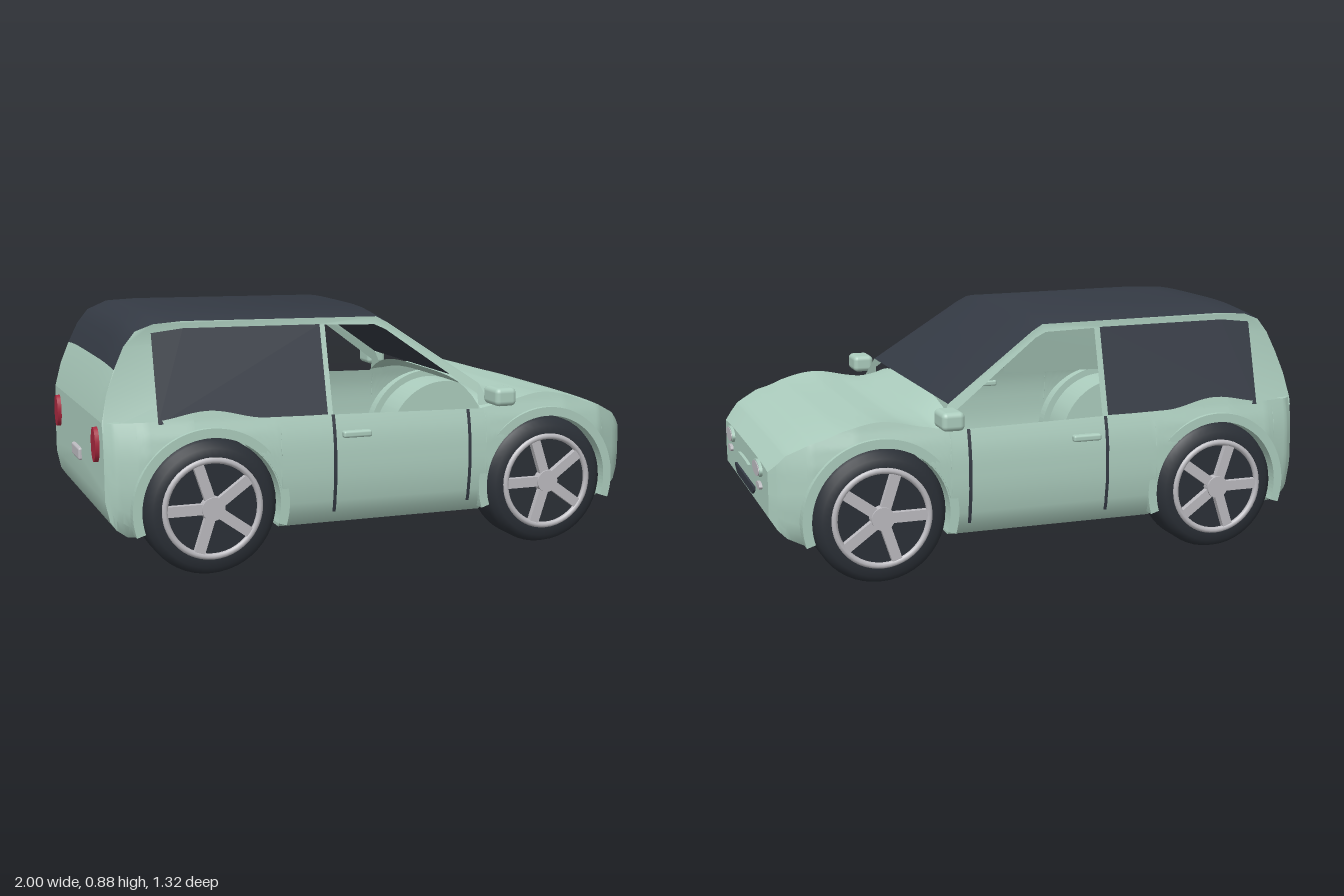
import * as THREE from 'three';
import { toCreasedNormals } from 'three/addons/utils/BufferGeometryUtils.js';
import { RoundedBoxGeometry } from 'three/addons/geometries/RoundedBoxGeometry.js';

const mat = (name, color, side = THREE.FrontSide) =>
  Object.assign(new THREE.MeshStandardMaterial({ color, side }), { name });
const paint = mat('mint paint', 0xaccdbe, THREE.DoubleSide);
const glass = mat('dark glass', 0x343a44, THREE.DoubleSide);
const rubber = mat('tyre rubber', 0x2b3037);
const silver = mat('silver', 0xbcbbc0);
const red = mat('tail light red', 0xa8283e);

const WHEELS = [-0.637, 0.622], AXLE = 0.235, ARCH = 0.245, END = 0.985;

// Linear interpolation in a small table of [key, value] pairs
function at(table, x) {
  if (x <= table[0][0]) return table[0][1];
  for (let i = 1; i < table.length; i++) {
    const [a, u] = table[i - 1], [b, v] = table[i];
    if (x <= b) return u + (v - u) * (x - a) / (b - a);
  }
  return table[table.length - 1][1];
}

// Body outlines: height of underside, shoulder and centre line, plan and side widths
const bottomT = [[-END, 0.27], [-0.97, 0.2], [-0.95, 0.17], [-0.91, 0.14], [0.87, 0.14], [0.93, 0.17], [0.96, 0.2], [END, 0.24]];
const beltT = [[-END, 0.53], [-0.8, 0.535], [-0.2, 0.525], [0.36, 0.515], [0.45, 0.53], [0.6, 0.53], [0.75, 0.525], [0.85, 0.5], [0.93, 0.46], [END, 0.4]];
const crownT = [[0.36, 0.6], [0.44, 0.555], [0.52, 0.54], [0.62, 0.545], [0.75, 0.535], [0.85, 0.51], [0.93, 0.465], [END, 0.41]];
const planT = [[-END, 0.86], [-0.95, 0.92], [-0.85, 0.975], [-0.7, 1], [0.7, 1], [0.85, 0.96], [0.95, 0.87], [END, 0.8]];
const sideT = [[0.14, 0.5], [0.19, 0.54], [0.3, 0.555], [0.42, 0.552], [0.48, 0.542], [0.53, 0.527], [0.57, 0.518]];
const bulge = x => WHEELS.reduce((s, c) => s + (Math.abs(x - c) < 0.2 ? 0.5 + 0.5 * Math.cos((x - c) / 0.2 * Math.PI) : 0), 0);
const belt = x => at(beltT, x) + 0.03 * bulge(x);
const width = (x, y) => at(planT, x) * at(sideT, y);
const cabinZ = (x, y) => 0.515 - (y - 0.53) * 0.28 - Math.max(0, -0.82 - x) * 0.35;

// Skin through rows of points [x, y, z]
function loft(rings, { closed = false, caps = false, skip = () => false, crease = 0.55 } = {}) {
  const n = rings[0].length, pos = rings.flat(2), idx = [];
  const edges = closed ? n : n - 1;
  for (let i = 0; i < rings.length - 1; i++) for (let j = 0; j < edges; j++) {
    if (skip(i, j)) continue;
    const k = (j + 1) % n, a = i * n + j, b = a + n, c = i * n + k, d = c + n;
    idx.push(a, b, c, b, d, c);
  }
  if (caps) [0, rings.length - 1].forEach((i, front) => {
    const centre = pos.length / 3;
    pos.push(rings[i][0][0], 0.35, 0);
    for (let j = 0; j < n; j++) {
      const a = i * n + j, b = i * n + (j + 1) % n;
      idx.push(centre, ...(front ? [b, a] : [a, b]));
    }
  });
  const g = new THREE.BufferGeometry();
  g.setAttribute('position', new THREE.Float32BufferAttribute(pos, 3));
  g.setIndex(idx);
  return toCreasedNormals(g, crease);
}

function add(parent, name, geo, material, x = 0, y = 0, z = 0) {
  const m = new THREE.Mesh(geo, material);
  m.name = name;
  m.position.set(x, y, z);
  parent.add(m);
  return m;
}

// Lower body with wheel wells, open on top inside the cabin
function bodyGeometry() {
  const xs = [];
  for (let i = 0; i <= 80; i++) xs.push(-END + 2 * END * i / 80);
  for (const c of WHEELS) {
    for (let k = 0; k <= 28; k++) xs.push(c + ARCH * Math.cos(k * Math.PI / 28));
    xs.push(c - ARCH - 0.001, c + ARCH + 0.001);
  }
  xs.push(-0.97, -0.95, -0.93, 0.36, 0.93, 0.96);
  xs.sort((a, b) => a - b);
  const rows = 9, across = 8;
  const rings = xs.map(x => {
    const b = at(bottomT, x), top = belt(x), crown = x < 0.359 ? top : at(crownT, x);
    let a = b;
    for (const c of WHEELS) if (Math.abs(x - c) <= ARCH + 1e-6) a = AXLE + Math.sqrt(Math.max(0, ARCH ** 2 - (x - c) ** 2));
    const half = [[x, b, 0], [x, b, 0.34], [x, a, 0.34]];
    for (let r = 0; r <= rows; r++) {
      const y = a + (top - a) * r / rows;
      half.push([x, y, width(x, y)]);
    }
    for (let s = 1; s <= across; s++) {
      const t = s / across;
      half.push([x, top + (crown - top) * (1 - (1 - t) ** 4), width(x, top) * (1 - t)]);
    }
    return [...half, ...half.slice(1, -1).reverse().map(([px, y, z]) => [px, y, -z])];
  });
  const first = 3 + rows, last = first + 2 * across;
  const skip = (i, j) => xs[i] > -0.931 && xs[i + 1] < 0.361 && j >= first && j < last;
  return loft(rings, { closed: true, caps: true, skip });
}

// Roof line stations: x, edge height, extra height in the middle
const ROOF = [[-END, 0.53, 0], [-0.965, 0.62, 0.004], [-0.935, 0.7, 0.01], [-0.9, 0.775, 0.018], [-0.86, 0.825, 0.024], [-0.8, 0.848, 0.027],
  [-0.7, 0.855, 0.024], [0, 0.847, 0.025], [0.04, 0.825, 0.022], [0.37, 0.6, 0]];
const roofGeometry = stations => loft(stations.map(([x, y, h]) => {
  const row = [];
  for (let k = 0; k <= 12; k++) {
    const t = 1 - k / 6;
    row.push([x, y + h * (1 - t ** 4), cabinZ(x, y) * t]);
  }
  return row;
}), { crease: 0.7 });

// Flat outline laid onto the slanting cabin side
function cabinPlate(points, lift = 0) {
  const g = new THREE.ShapeGeometry(new THREE.Shape(points.map(p => new THREE.Vector2(p[0], p[1]))));
  const p = g.attributes.position;
  for (let i = 0; i < p.count; i++) p.setZ(i, cabinZ(p.getX(i), p.getY(i)) + lift);
  g.computeVertexNormals();
  return g;
}

function addWheel(parent, x) {
  const wheel = new THREE.Group();
  wheel.name = 'wheel';
  wheel.position.set(x, AXLE, 0);
  parent.add(wheel);
  const profile = [[0, 0.36], [0.2, 0.36], [0.225, 0.38], [0.235, 0.41], [0.235, 0.51], [0.226, 0.537], [0.205, 0.553], [0.176, 0.555], [0.17, 0.535], [0, 0.535]];
  const tyre = new THREE.LatheGeometry(profile.map(p => new THREE.Vector2(...p)), 48).rotateX(Math.PI / 2);
  add(wheel, 'tyre', toCreasedNormals(tyre, 0.7), rubber);
  add(wheel, 'rim', new THREE.TorusGeometry(0.165, 0.011, 8, 48), silver, 0, 0, 0.552);
  add(wheel, 'hub', new THREE.CylinderGeometry(0.04, 0.042, 0.03, 24).rotateX(Math.PI / 2), silver, 0, 0, 0.55);
  for (let k = 0; k < 5; k++) {
    const spoke = new THREE.BoxGeometry(0.14, 0.036, 0.022).translate(0.09, 0, 0.548);
    add(wheel, 'spoke', spoke, silver).rotation.z = Math.PI + k * Math.PI * 0.4;
  }
}

// Oval lamp facing along x
const oval = (ry, rz, depth) => new THREE.CylinderGeometry(1, 1, depth, 32).rotateZ(Math.PI / 2).scale(1, ry, rz);

function buildSide(side) {
  // Cabin side frame with open door window
  add(side, 'cabinSide', cabinPlate([[-END, 0.5], [-0.195, 0.5], [-0.195, 0.825], [-0.01, 0.82], [0.03, 0.802], [0.36, 0.565], [0.36, 0.5], [0.42, 0.5],
    ...ROOF.map(([x, y]) => [x, y]).reverse()]), paint);
  add(side, 'rearSideWindow', cabinPlate([[-0.81, 0.525], [-0.215, 0.525], [-0.215, 0.828], [-0.7, 0.832], [-0.81, 0.82]], 0.004), glass);

  // Door gaps following the body curve
  for (const x of [-0.2, 0.31]) {
    const strip = [-0.006, 0.006].map(d => Array.from({ length: 14 }, (_, k) => {
      const y = 0.185 + (belt(x) - 0.185) * k / 13;
      return [x + d, y, width(x, y) + 0.003];
    }));
    add(side, 'doorGap', loft(strip), glass);
  }
  add(side, 'doorHandle', new RoundedBoxGeometry(0.105, 0.024, 0.03, 2, 0.008), paint, -0.12, 0.458, 0.553);
  add(side, 'mirror', new RoundedBoxGeometry(0.08, 0.064, 0.112, 3, 0.018), paint, 0.4, 0.57, 0.604);

  // Wheels and raised arch lips
  for (const x of WHEELS) {
    addWheel(side, x);
    const lip = new THREE.Shape();
    lip.absarc(0, 0, 0.272, -0.3, Math.PI + 0.3, false);
    lip.absarc(0, 0, 0.24, Math.PI + 0.3, -0.3, true);
    add(side, 'archLip', new THREE.ExtrudeGeometry(lip, { depth: 0.05, bevelEnabled: false, curveSegments: 32 }), paint, x, AXLE, 0.502);
  }

  // Lamps
  add(side, 'headlightRim', oval(0.029, 0.068, 0.02), paint, 0.986, 0.379, 0.285);
  add(side, 'headlight', oval(0.025, 0.062, 0.02), silver, 0.989, 0.379, 0.285);
  add(side, 'fogLight', oval(0.013, 0.035, 0.02), silver, 0.986, 0.322, 0.303);
  add(side, 'tailLight', oval(0.06, 0.038, 0.026), red, -0.987, 0.445, 0.37);
}

export function createModel() {
  const car = new THREE.Group();
  car.name = 'car';
  add(car, 'body', bodyGeometry(), paint);
  add(car, 'tailgate', roofGeometry(ROOF.slice(0, 3)), paint);
  add(car, 'roofAndWindscreen', roofGeometry(ROOF.slice(2)), glass);

  for (const s of [1, -1]) {
    const side = new THREE.Group();
    side.name = s > 0 ? 'rightSideParts' : 'leftSideParts';
    side.scale.z = s;
    buildSide(side);
    car.add(side);
  }

  // Nose and tail details
  const grille = new THREE.Shape([[-0.195, 0.288], [-0.195, 0.276], [-0.16, 0.256], [0.16, 0.256], [0.195, 0.276], [0.195, 0.288]].map(p => new THREE.Vector2(...p)));
  add(car, 'grille', new THREE.ExtrudeGeometry(grille, { depth: 0.009, bevelEnabled: false }).rotateY(Math.PI / 2), glass, 0.984);
  add(car, 'noseTrim', oval(0.005, 0.11, 0.02), paint, 0.986, 0.348, 0);
  add(car, 'tailgateHandle', new RoundedBoxGeometry(0.02, 0.045, 0.14, 2, 0.008), silver, -0.987, 0.355, 0);
  return car;
}
